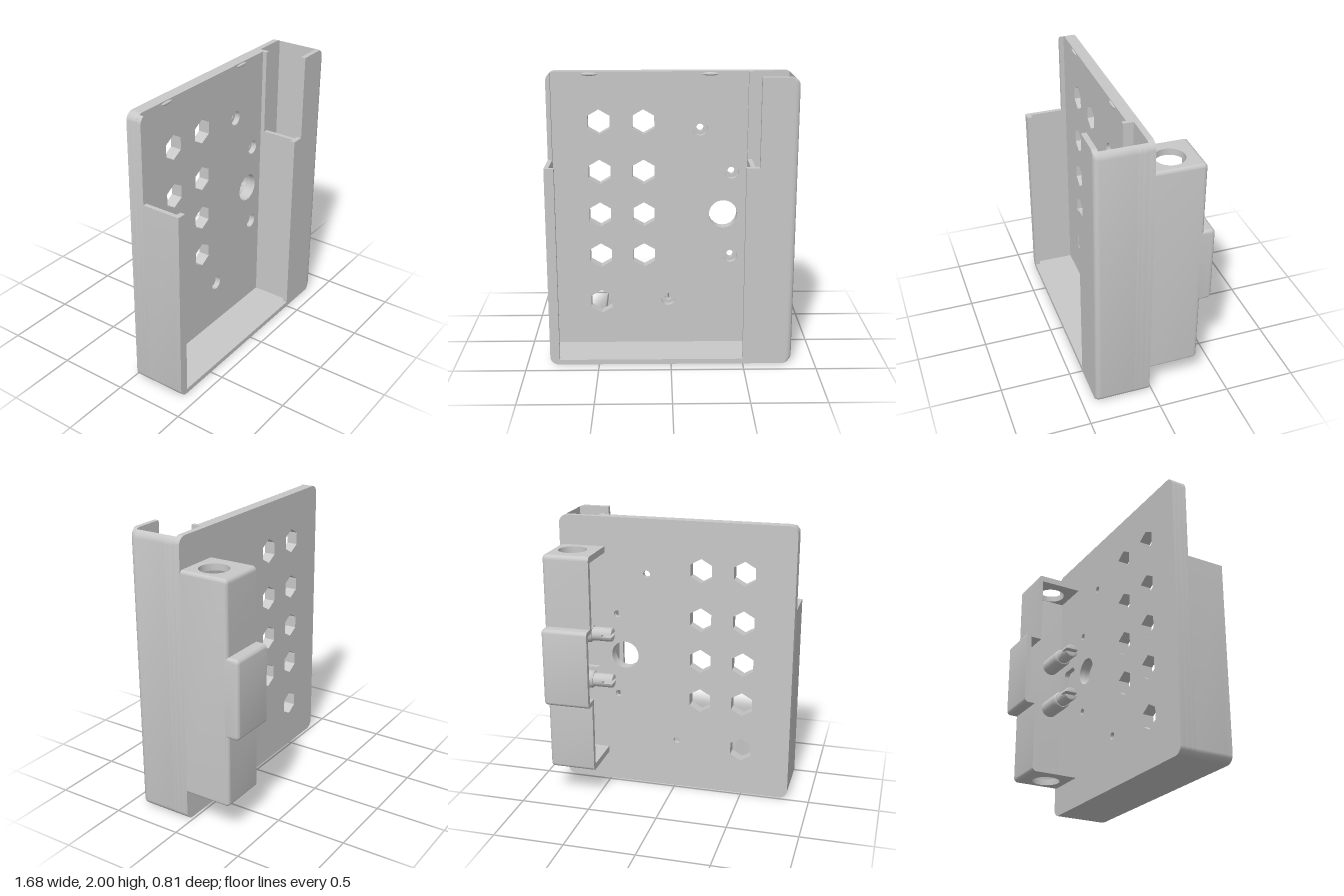
import * as THREE from 'three';
import { toCreasedNormals } from 'three/addons/utils/BufferGeometryUtils.js';

// Closed outline from [x, y, cornerRadius] points
function outline(points) {
  const shape = new THREE.Shape();
  const n = points.length;
  points.forEach(([x, y, r = 0], i) => {
    const toward = ([px, py], d) => {
      const len = Math.hypot(px - x, py - y);
      return [x + ((px - x) * d) / len, y + ((py - y) * d) / len];
    };
    const prev = points[(i + n - 1) % n], next = points[(i + 1) % n];
    const a = toward(prev, r), b = toward(next, r);
    if (i === 0) shape.moveTo(...a); else shape.lineTo(...a);
    if (r) shape.bezierCurveTo(...toward(prev, r * 0.448), ...toward(next, r * 0.448), ...b);
  });
  shape.closePath();
  return shape;
}

function circle(x, y, r) {
  return new THREE.Path().absarc(x, y, r, 0, Math.PI * 2, true);
}

function hexagon(x, y, r) {
  const pts = [];
  for (let i = 0; i < 6; i++) {
    const a = Math.PI / 2 - (i * Math.PI) / 3;
    pts.push(new THREE.Vector2(x + r * Math.cos(a), y + r * Math.sin(a)));
  }
  return new THREE.Path(pts);
}

export function createModel() {
  const group = new THREE.Group();
  const grey = new THREE.MeshStandardMaterial({ color: 0xc8c8c8 });
  grey.name = 'plastic light grey';

  const add = (name, geometry) => {
    const mesh = new THREE.Mesh(toCreasedNormals(geometry, 0.6), grey);
    mesh.name = name;
    group.add(mesh);
  };
  const extrude = (shape, depth, options = {}) =>
    new THREE.ExtrudeGeometry(shape, { depth, bevelEnabled: false, curveSegments: 10, ...options });
  // Layer of the tray between two z values
  const layer = (name, shape, z0, z1) => add(name, extrude(shape, z1 - z0).translate(0, 0, z0));

  const W = 0.84, H = 2, R = 0.06;

  // Hole positions in the back plate
  const hexes = [];
  for (const y of [1.655, 1.305, 1, 0.7, 0.35]) hexes.push([-0.49, y]);
  for (const y of [1.655, 1.305, 1, 0.7]) hexes.push([-0.185, y]);
  const screws = [[0.205, 1.61], [0.425, 1.305], [0.425, 0.695], [-0.015, 0.37]];
  const pierce = (shape, screwRadius) => {
    for (const [x, y] of hexes) shape.holes.push(hexagon(x, y, 0.087));
    for (const [x, y] of screws) shape.holes.push(circle(x, y, screwRadius));
    shape.holes.push(circle(0.37, 1, 0.1));
    return shape;
  };

  // Back plate: outer skin, then the thicker tray floor with counterbores
  const skin = pierce(outline([[-W, 0, R], [W, 0, R], [W, H, R], [-W, H, R]]), 0.025);
  skin.holes.push(outline([[0.56, 0.885, 0.035], [0.72, 0.885, 0.035], [0.72, 1.115, 0.035], [0.56, 1.115, 0.035]]));
  layer('backPlate', skin, 0.02, 0.06);
  layer('trayFloor', pierce(outline([[-W, 0, R], [0.56, 0], [0.56, H], [-W, H, R]]), 0.05), 0.06, 0.1);

  // Thin side walls follow the rounded top corners of the plate
  const rightTop = [[W, 1.94], [0.836, 1.962], [0.823, 1.982], [0.81, 1.992]];
  const leftTop = rightTop.map(([x, y]) => [-x, y]).reverse();
  const wall = (leftEnd) => outline([
    [-W, 0, R], [W, 0, R], ...rightTop, [0.81, 0.035], [-0.81, 0.035], ...leftEnd]);
  layer('channelWall', outline([
    [0.55, 0], [W, 0, R], ...rightTop, [0.81, 0.035], [0.55, 0.035]]), 0.06, 0.1);
  layer('lowerWalls', wall(leftTop), 0.1, 0.13);
  layer('upperWalls', wall([[-0.81, 1.4], [-W, 1.4]]), 0.13, 0.37);

  // Divider between the tray and the cable channel
  const divider = (top) => outline([[0.53, 0.03], [0.56, 0.03], [0.56, top], [0.53, top]]);
  layer('lowDivider', divider(H), 0.1, 0.13);
  layer('divider', divider(1.4), 0.13, 0.37);

  // Front rim and channel cover, rounded along the +x edge
  const rim = extrude(outline([
    [-W, 0, R], [W, 0, R], [W, H, R], [0.59, H], [0.59, 1.4], [0.5, 1.4],
    [0.5, 0.035], [-0.775, 0.035], [-0.775, 1.4], [-W, 1.4]]), 0.035, { steps: 6 });
  const p = rim.attributes.position;
  for (let i = 0; i < p.count; i++) {
    const t = p.getZ(i) / 0.035;
    const side = THREE.MathUtils.clamp((p.getX(i) - 0.78) / 0.06, 0, 1);
    p.setX(i, p.getX(i) - 0.03 * (1 - Math.sqrt(Math.max(0, 1 - t * t))) * side);
  }
  add('frontRim', rim.translate(0, 0, 0.37));

  // Snap bumps on the top edge
  for (const x of [-0.548, 0.27]) {
    add('snapBump', new THREE.SphereGeometry(1, 20, 12).scale(0.055, 0.012, 0.012).translate(x, 1.982, 0.1));
  }

  // Rear housing: profiles use (-z, y) and run along x
  const alongX = (shape, x, depth, options) =>
    extrude(shape, depth, options).rotateY(Math.PI / 2).translate(x, 0, 0);
  const E = 0.03;
  const outer = [
    [0.325, 0.215, E], [0.325, 0.725], [0.405, 0.725, E], [0.405, 1.285, E],
    [0.325, 1.285], [0.325, 1.79, E]];
  add('housingBack', alongX(outline([
    [0.29, 0.215], ...outer, [0.29, 1.79], [0.29, 1.25], [0.37, 1.25], [0.37, 0.76], [0.29, 0.76]]), 0.51, 0.305));
  add('housingSide', alongX(outline([[-0.05, 0.215], ...outer, [-0.05, 1.79]]), 0.8145, 0.001, {
    bevelEnabled: true, bevelThickness: 0.0245, bevelSize: 0.0245, bevelOffset: -0.0245, bevelSegments: 5 }));

  // Housing ends with cable holes
  for (const y of [0.215, 1.745]) {
    const end = outline([[0.51, -0.02], [0.815, -0.02], [0.815, 0.29], [0.51, 0.29]]);
    end.holes.push(circle(0.688, 0.132, 0.1));
    add('housingEnd', extrude(end, 0.045, { curveSegments: 24 }).rotateX(-Math.PI / 2).translate(0, y, 0));
  }

  // Pins: a thick sleeve, a thinner shaft and a split tip
  const shaft = [[0, 0.5], [0.05, 0.5], [0.05, 0.575], [0.055, 0.575], [0.065, 0.59], [0.065, 0.8]]
    .map(([r, x]) => new THREE.Vector2(r, x));
  const half = new THREE.Shape().absarc(0, 0, 0.05, 0.18, Math.PI - 0.18, false);
  for (const y of [0.825, 1.175]) {
    add('pinShaft', new THREE.LatheGeometry(shaft, 28).rotateZ(-Math.PI / 2).translate(0, y, -0.07));
    for (const turn of [0, Math.PI]) {
      const tip = extrude(half, 0.07, {
        bevelEnabled: true, bevelThickness: 0.01, bevelSize: 0.008, bevelOffset: -0.008, bevelSegments: 2 });
      add('pinTip', tip.rotateZ(turn).rotateY(Math.PI / 2).translate(0.44, y, -0.07));
    }
  }

  return group;
}
